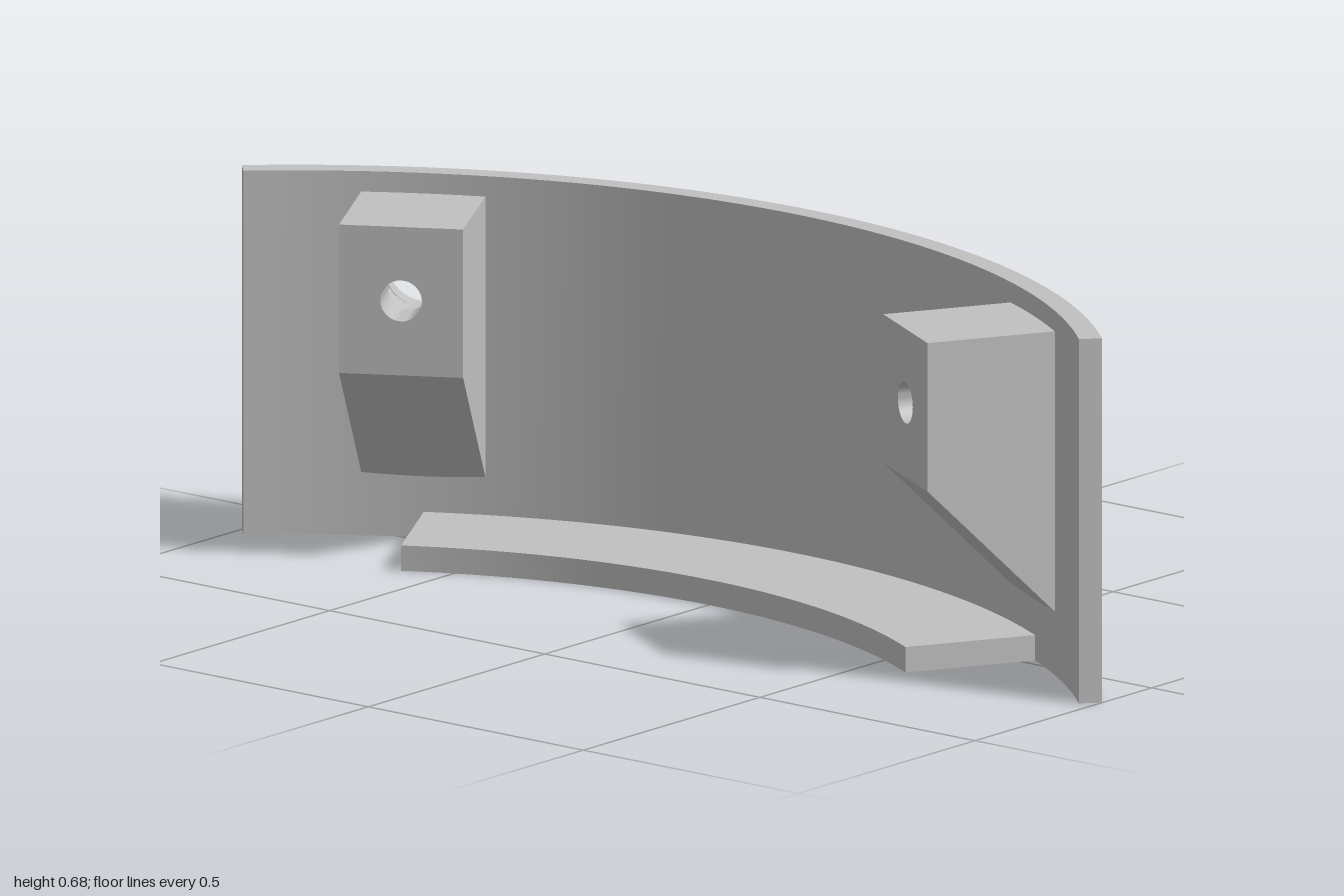
import * as THREE from 'three';
import { toCreasedNormals } from 'three/addons/utils/BufferGeometryUtils.js';

const CENTRE_Z = 1.208;              // axis of the curved wall
const R_OUT = 1.463, R_IN = 1.421, R_FACE = 1.172;
const HEIGHT = 0.675, HALF = THREE.MathUtils.degToRad(43.1);
const BOLT = Math.PI / 6;            // angle of the bolt holes
const HOLE_Y = 0.5, BORE = 0.074, PIN = 0.038, SHOULDER = 1.262;

// Curved wall, made of columns that split above and below the bolt holes
function wallGeometry() {
  const holeHalf = Math.asin(BORE / R_OUT);
  const angles = [];
  const span = (a, b, n) => {
    for (let i = 0; i < n; i++) angles.push(a + (b - a) * i / n);
  };
  const hole = c => {
    for (let k = 0; k < 16; k++) angles.push(c - Math.asin(BORE * Math.cos(k * Math.PI / 16) / R_OUT));
  };
  span(-HALF, -BOLT - holeHalf, 8);
  hole(-BOLT);
  span(-BOLT + holeHalf, BOLT - holeHalf, 36);
  hole(BOLT);
  span(BOLT + holeHalf, HALF, 8);
  angles.push(HALF);

  const pos = [];
  const P = (r, t, y) => [r * Math.sin(t), y, -r * Math.cos(t)];
  const quad = (a, b, c, d) => pos.push(...a, ...b, ...c, ...a, ...c, ...d);
  const gap = t => {
    const s = R_OUT * Math.sin(Math.abs(t) - BOLT);
    return Math.sqrt(Math.max(0, BORE * BORE - s * s));
  };
  const faces = (t0, t1, lo0, lo1, hi0, hi1) => {
    quad(P(R_OUT, t1, lo1), P(R_OUT, t0, lo0), P(R_OUT, t0, hi0), P(R_OUT, t1, hi1));
    quad(P(R_IN, t0, lo0), P(R_IN, t1, lo1), P(R_IN, t1, hi1), P(R_IN, t0, hi0));
  };
  for (let i = 0; i < angles.length - 1; i++) {
    const t0 = angles[i], t1 = angles[i + 1];
    if (Math.abs(Math.abs((t0 + t1) / 2) - BOLT) < holeHalf) {
      const g0 = gap(t0), g1 = gap(t1);
      faces(t0, t1, 0, 0, HOLE_Y - g0, HOLE_Y - g1);
      faces(t0, t1, HOLE_Y + g0, HOLE_Y + g1, HEIGHT, HEIGHT);
    } else {
      faces(t0, t1, 0, 0, HEIGHT, HEIGHT);
    }
    quad(P(R_IN, t0, HEIGHT), P(R_IN, t1, HEIGHT), P(R_OUT, t1, HEIGHT), P(R_OUT, t0, HEIGHT));
    quad(P(R_IN, t0, 0), P(R_OUT, t0, 0), P(R_OUT, t1, 0), P(R_IN, t1, 0));
  }
  quad(P(R_IN, HALF, 0), P(R_OUT, HALF, 0), P(R_OUT, HALF, HEIGHT), P(R_IN, HALF, HEIGHT));
  quad(P(R_OUT, -HALF, 0), P(R_IN, -HALF, 0), P(R_IN, -HALF, HEIGHT), P(R_OUT, -HALF, HEIGHT));
  const g = new THREE.BufferGeometry();
  g.setAttribute('position', new THREE.Float32BufferAttribute(pos, 3));
  return toCreasedNormals(g, 0.6);
}

// Flat ledge along the foot of the wall
function ledgeGeometry() {
  const s = new THREE.Shape();
  s.absarc(0, 0, R_IN, Math.PI / 3, Math.PI * 2 / 3, false);
  s.absarc(0, 0, R_FACE, Math.PI * 2 / 3, Math.PI / 3, true);
  s.closePath();
  const g = new THREE.ExtrudeGeometry(s, { depth: 0.047, bevelEnabled: false, curveSegments: 48 });
  return toCreasedNormals(g.rotateX(-Math.PI / 2), 0.6);
}

// Mounting block with a sloped underside and a stepped bolt hole
function mountingBlock(material) {
  const group = new THREE.Group();
  const add = (name, geometry) => {
    const m = new THREE.Mesh(geometry, material);
    m.name = name;
    group.add(m);
  };
  const w = 0.226, top = 0.637, bottom = 0.362, back = 1.43;

  // sides, top and sloped underside
  const body = new THREE.BoxGeometry(w, top - bottom, back - R_FACE);
  body.translate(0, (top + bottom) / 2, -(back + R_FACE) / 2);
  const p = body.attributes.position;
  for (let i = 0; i < p.count; i++) {
    if (p.getZ(i) < -1.3 && p.getY(i) < 0.5) p.setY(i, bottom - (back - R_FACE));
  }
  body.setIndex(Array.from(body.index.array).slice(0, 24));
  body.clearGroups();
  body.computeVertexNormals();
  add('blockBody', body);

  // front face with the pin hole
  const s = new THREE.Shape();
  s.moveTo(-w / 2, bottom).lineTo(w / 2, bottom).lineTo(w / 2, top).lineTo(-w / 2, top).closePath();
  s.holes.push(new THREE.Path().absarc(0, HOLE_Y, PIN, 0, Math.PI * 2, true));
  add('blockFace', new THREE.ShapeGeometry(s, 16).translate(0, 0, -R_FACE));

  // inside of the bolt hole, its wide end trimmed to the curved wall
  const profile = [[BORE, R_OUT], [BORE, SHOULDER], [PIN, SHOULDER], [PIN, R_FACE]];
  const bore = new THREE.LatheGeometry(profile.map(q => new THREE.Vector2(...q)), 32);
  bore.rotateX(-Math.PI / 2);
  const b = bore.attributes.position;
  for (let i = 0; i < b.count; i++) {
    const x = b.getX(i);
    if (b.getZ(i) < -1.4) b.setZ(i, -Math.sqrt(R_OUT * R_OUT - x * x));
  }
  bore.translate(0, HOLE_Y, 0);
  add('boltHole', toCreasedNormals(bore, 0.6));
  return group;
}

export function createModel() {
  const model = new THREE.Group();
  model.name = 'curvedBracket';
  const grey = new THREE.MeshStandardMaterial({ color: 0xc0c0c0 });
  grey.name = 'light grey';

  const wall = new THREE.Mesh(wallGeometry(), grey);
  wall.name = 'curvedWall';
  const ledge = new THREE.Mesh(ledgeGeometry(), grey);
  ledge.name = 'ledge';
  model.add(wall, ledge);

  for (const side of [1, -1]) {
    const block = mountingBlock(grey);
    block.name = side > 0 ? 'leftMountingBlock' : 'rightMountingBlock';
    block.rotation.y = -side * BOLT;
    model.add(block);
  }
  for (const part of model.children) part.position.z = CENTRE_Z;
  return model;
}
